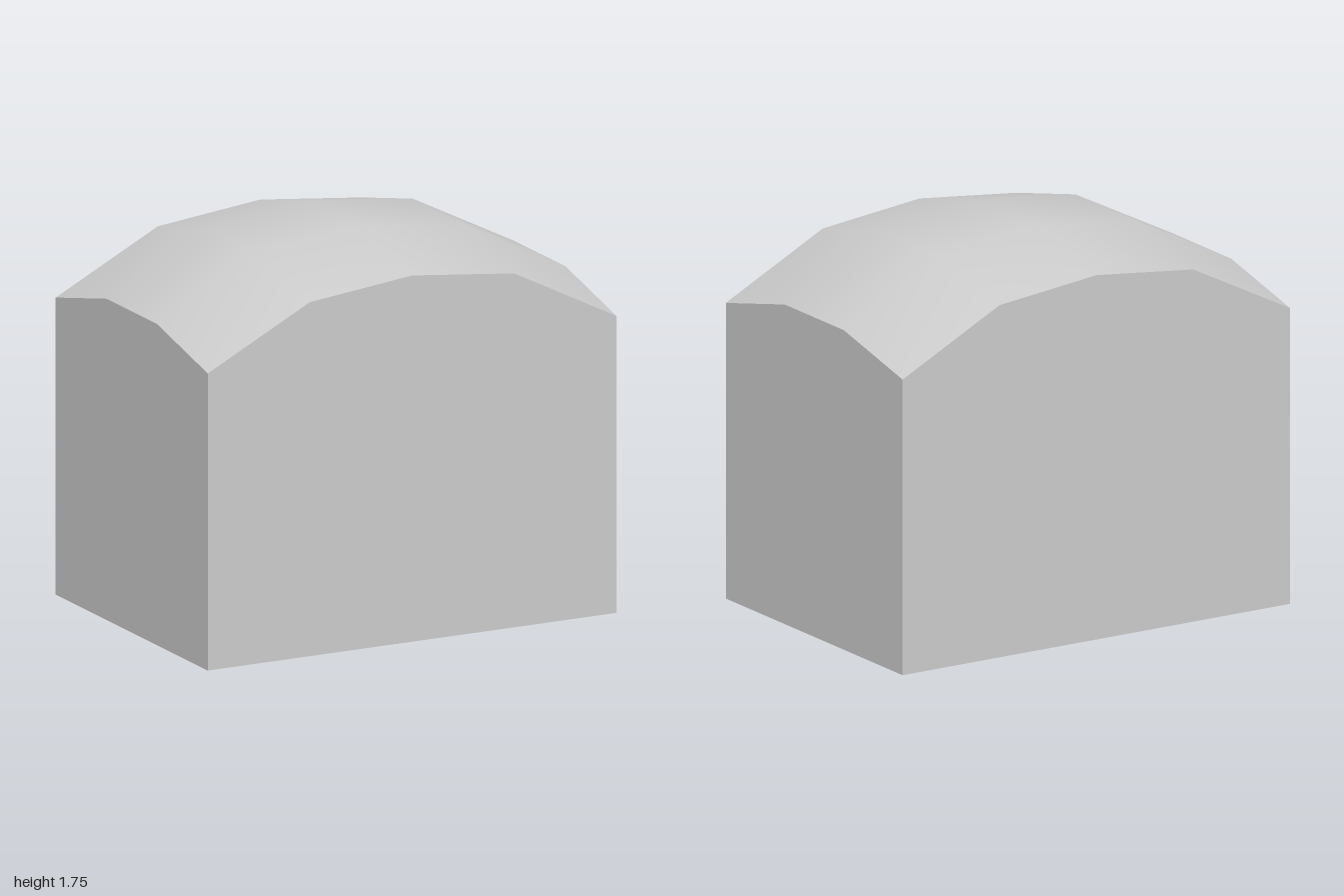
import * as THREE from 'three';

// Roof height: an arch across x (4 spans) that drops a little at the front and back rows
function roofHeight(x, z) {
  const arch = [1.75, 1.695, 1.44][Math.round(Math.abs(x) * 2)];
  return arch - (Math.abs(z) > 0.5 ? 0.108 : 0);
}

export function createModel() {
  const group = new THREE.Group();
  group.name = 'domedBlock';

  // Box with a 4 x 3 grid on top; its upper vertices are lifted to the roof curve
  const geometry = new THREE.BoxGeometry(2, 1, 1.4, 4, 1, 3);
  const position = geometry.attributes.position;
  for (let i = 0; i < position.count; i++) {
    const top = position.getY(i) > 0;
    position.setY(i, top ? roofHeight(position.getX(i), position.getZ(i)) : 0);
  }
  // Each box side has its own vertices, so the roof is smooth and the rim stays sharp
  geometry.computeVertexNormals();

  const block = new THREE.Mesh(geometry, new THREE.MeshStandardMaterial({ color: 0xcccccc }));
  block.name = 'blockWithDomedTop';
  group.add(block);
  return group;
}
